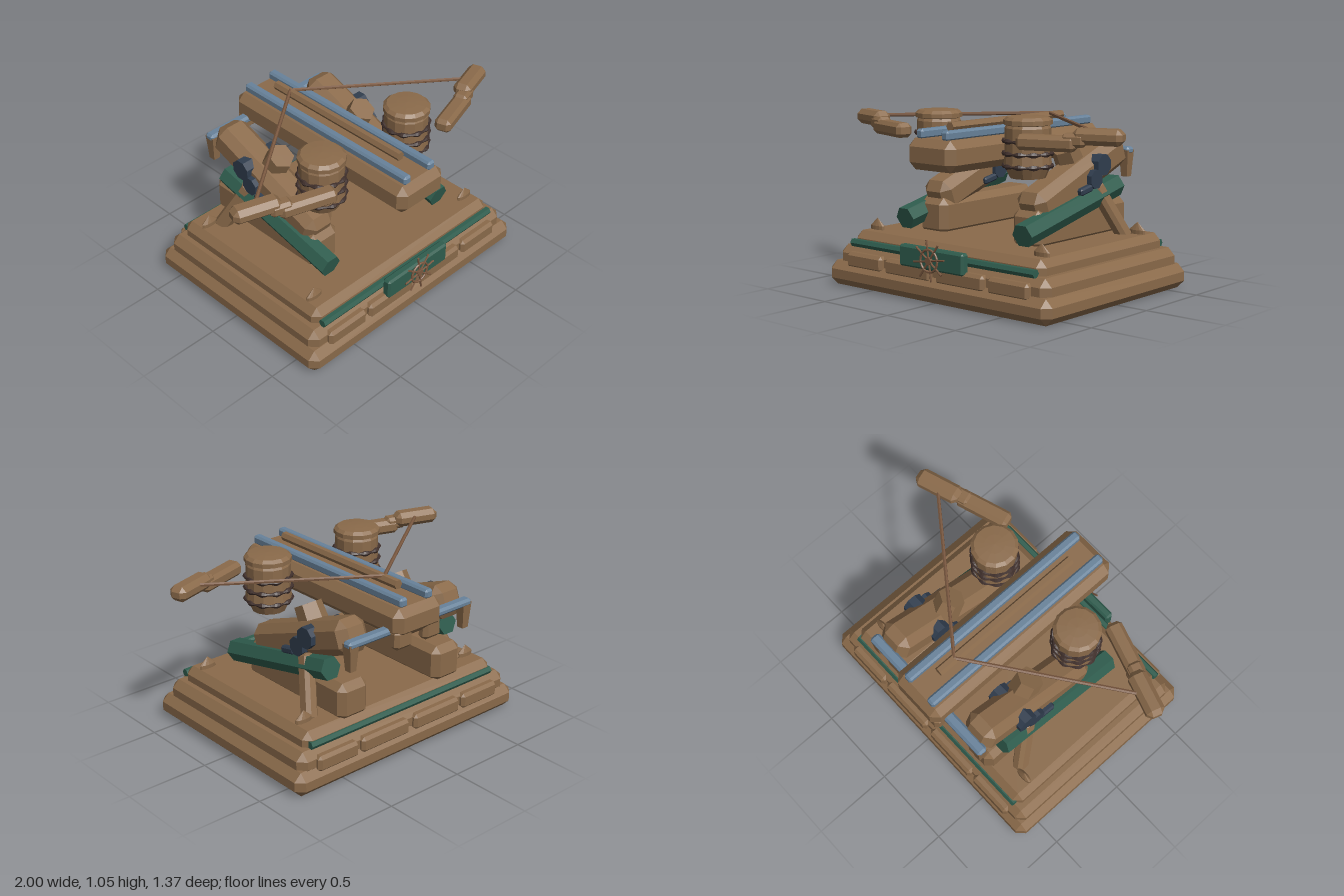
import * as THREE from 'three';
import { ConvexGeometry } from 'three/addons/geometries/ConvexGeometry.js';

const mat = (name, color, flatShading = true) => {
  const m = new THREE.MeshStandardMaterial({ color, flatShading });
  m.name = name;
  return m;
};

// box with every edge and corner cut off
function chamferBox(w, h, d, c) {
  const pts = [];
  for (const x of [-1, 1]) for (const y of [-1, 1]) for (const z of [-1, 1]) {
    const X = w / 2, Y = h / 2, Z = d / 2;
    pts.push(new THREE.Vector3(x * X, y * (Y - c), z * (Z - c)));
    pts.push(new THREE.Vector3(x * (X - c), y * Y, z * (Z - c)));
    pts.push(new THREE.Vector3(x * (X - c), y * (Y - c), z * Z));
  }
  return new ConvexGeometry(pts);
}

// rope ring with swelling strands
function ropeRing(r) {
  const g = new THREE.TorusGeometry(r, 0.016, 6, 60);
  const p = g.attributes.position;
  for (let i = 0; i < p.count; i++) {
    const x = p.getX(i), y = p.getY(i), a = Math.atan2(y, x);
    const k = 0.78 + 0.32 * Math.cos(a * 10);
    const s = (r + (Math.hypot(x, y) - r) * k) / Math.hypot(x, y);
    p.setXYZ(i, x * s, y * s, p.getZ(i) * k);
  }
  g.rotateX(Math.PI / 2);
  g.computeVertexNormals();
  return g;
}

export function createModel() {
  const root = new THREE.Group();
  root.name = 'siegeBow';
  const wood = mat('wood', 0x8a6a4a);
  const cord = mat('cord', 0x7a5840);
  const green = mat('greenPaint', 0x2f5d4e);
  const steel = mat('steel', 0x68829a);
  const iron = mat('darkIron', 0x303d4e);
  const rope = mat('darkRope', 0x40302c);

  const add = (name, geo, m, x = 0, y = 0, z = 0, parent = root) => {
    const mesh = new THREE.Mesh(geo, m);
    mesh.name = name;
    mesh.position.set(x, y, z);
    parent.add(mesh);
    return mesh;
  };
  // prism running between two points
  const rod = (name, a, b, r, sides, m, parent = root, spin = 0) => {
    const A = new THREE.Vector3(...a), B = new THREE.Vector3(...b);
    const dir = B.clone().sub(A);
    const g = new THREE.CylinderGeometry(r, r, dir.length(), sides);
    g.rotateY(spin);
    const mesh = add(name, g, m, 0, 0, 0, parent);
    mesh.position.copy(A).add(B).multiplyScalar(0.5);
    mesh.quaternion.setFromUnitVectors(new THREE.Vector3(0, 1, 0), dir.normalize());
    return mesh;
  };

  // stepped base
  add('baseTierLow', chamferBox(1.69, 0.145, 1.326, 0.045), wood, 0, 0.0725, 0.011);
  add('baseTierMiddle', chamferBox(1.6, 0.14, 1.24, 0.045), wood, 0, 0.17, 0.005);
  add('baseTierTop', chamferBox(1.45, 0.135, 1.14, 0.042), wood, 0, 0.2575, 0);

  // trim on front and back of the base
  for (const [z, bar] of [[0.62, 0.59], [-0.61, -0.565]]) {
    for (const s of [-1, 1]) {
      add('trimBlock', chamferBox(0.36, 0.095, 0.07, 0.018), wood, s * 0.2, 0.163, z);
      add('trimBlock', chamferBox(0.29, 0.095, 0.07, 0.018), wood, s * 0.55, 0.163, z);
    }
    rod('trimBar', [-0.7, 0.258, bar], [0.7, 0.258, bar], 0.025, 6, green);
  }

  // front plate and spoked wheel
  add('frontPlate', chamferBox(0.49, 0.125, 0.055, 0.012), green, 0, 0.252, 0.638);
  const wheel = new THREE.Group();
  wheel.name = 'wheel';
  wheel.position.set(0, 0.248, 0.674);
  root.add(wheel);
  add('wheelRim', new THREE.TorusGeometry(0.064, 0.007, 6, 24), cord, 0, 0, 0, wheel);
  const hub = add('wheelHub', new THREE.CylinderGeometry(0.022, 0.022, 0.02, 10), cord, 0, 0, 0, wheel);
  hub.rotation.x = Math.PI / 2;
  for (let i = 0; i < 8; i++) {
    const a = i * Math.PI / 4 + 0.15;
    rod('spoke', [0, 0, 0], [Math.cos(a) * 0.118, Math.sin(a) * 0.118, 0], 0.006, 6, cord, wheel);
  }

  // pointed studs at the deck corners
  for (const x of [-0.63, 0.63]) for (const z of [0.455, -0.43]) {
    const prof = [[0, -0.02], [0.055, -0.02], [0.055, 0.028], [0, 0.075]].map(p => new THREE.Vector2(...p));
    add('deckStud', new THREE.LatheGeometry(prof, 12), wood, x, 0.32, z).scale.z = 0.35;
  }

  // mirrored parts
  for (const s of [-1, 1]) {
    const side = new THREE.Group();
    side.name = s > 0 ? 'leftSide' : 'rightSide';
    root.add(side);
    const x = s * 0.36;

    add('pedestal', chamferBox(0.215, 0.225, 0.84, 0.04), wood, x, 0.41, -0.14, side);
    const beam = add('slantedBeam', chamferBox(0.21, 0.2, 0.86, 0.05), wood, x, 0.66, -0.16, side);
    beam.rotation.x = 0.362;
    const knob = add('beamKnob', new THREE.CylinderGeometry(0.08, 0.09, 0.16, 6), wood, s * 0.33, 0.77, -0.155, side);
    knob.rotation.x = 0.52;

    // hexagonal green brace and leaning strut
    rod('greenBrace', [s * 0.45, 0.405, 0.405], [s * 0.45, 0.597, -0.45], 0.07, 6, green, side, Math.PI / 2);
    const strut = add('strut', chamferBox(0.08, 0.38, 0.09, 0.02), wood, s * 0.51, 0.455, -0.325, side);
    strut.quaternion.setFromUnitVectors(new THREE.Vector3(0, 1, 0), new THREE.Vector3(-s * 0.11, 0.31, 0.15).normalize());

    // iron pins through the beam
    for (const [y, z, r] of [[0.733, -0.282, 0.065], [0.657, -0.21, 0.058]]) {
      const g = new THREE.CylinderGeometry(r, r, 0.265, 8);
      g.rotateY(Math.PI / 8).rotateZ(Math.PI / 2);
      add('ironPin', g, iron, s * 0.365, y, z, side);
    }
    const wedge = add('ironWedge', chamferBox(0.265, 0.042, 0.11, 0.01), iron, s * 0.365, 0.602, -0.125, side);
    wedge.rotation.x = 0.2;

    // hook hanging from the rear bar
    const hook = new THREE.CylinderGeometry(0.046, 0.03, 0.16, 4);
    hook.rotateY(Math.PI / 4);
    add('rearHook', hook, wood, s * 0.43, 0.71, -0.59, side);

    // torsion barrel with rope rings
    const prof = [[0, 0.7], [0.1, 0.7], [0.135, 0.775], [0.13, 0.83], [0.13, 0.98], [0.122, 0.995],
      [0.138, 1.0], [0.138, 1.025], [0.118, 1.042], [0.06, 1.046], [0, 1.048]].map(p => new THREE.Vector2(...p));
    add('barrel', new THREE.LatheGeometry(prof, 14), wood, s * 0.34, 0, 0.225, side);
    for (const y of [0.768, 0.838, 0.908]) add('ropeRing', ropeRing(0.131), rope, s * 0.34, y, 0.225, side);

    // bow limb pieces
    for (const [name, w, h, d, c, px, y, z] of [
      ['limbInner', 0.34, 0.085, 0.1, 0.022, 0.588, 0.925, 0.365],
      ['limbJoint', 0.13, 0.075, 0.085, 0.018, 0.735, 0.945, 0.315],
      ['limbOuter', 0.28, 0.09, 0.11, 0.028, 0.856, 0.967, 0.258]]) {
      add(name, chamferBox(w, h, d, c), wood, s * px, y, z, side).rotation.y = s * 0.31;
    }
    rod('bowString', [s * 0.82, 0.98, 0.22], [0, 1.0, -0.385], 0.011, 6, cord, side);

    // rail and foot of the stock
    add('rail', chamferBox(0.055, 0.055, 1.295, 0.012), steel, s * 0.095, 0.948, -0.003, side);
    add('stockFoot', chamferBox(0.13, 0.12, 0.075, 0.022), wood, s * 0.108, 0.745, -0.64, side);
  }

  // stock with bolt and rear bar
  add('stock', chamferBox(0.356, 0.178, 1.37, 0.045), wood, 0, 0.836, -0.005);
  rod('bolt', [0, 0.983, 0.495], [0, 0.983, -0.5], 0.028, 6, wood, root, Math.PI / 6);
  add('rearBar', chamferBox(0.93, 0.045, 0.065, 0.014), steel, 0, 0.787, -0.592);
  return root;
}
